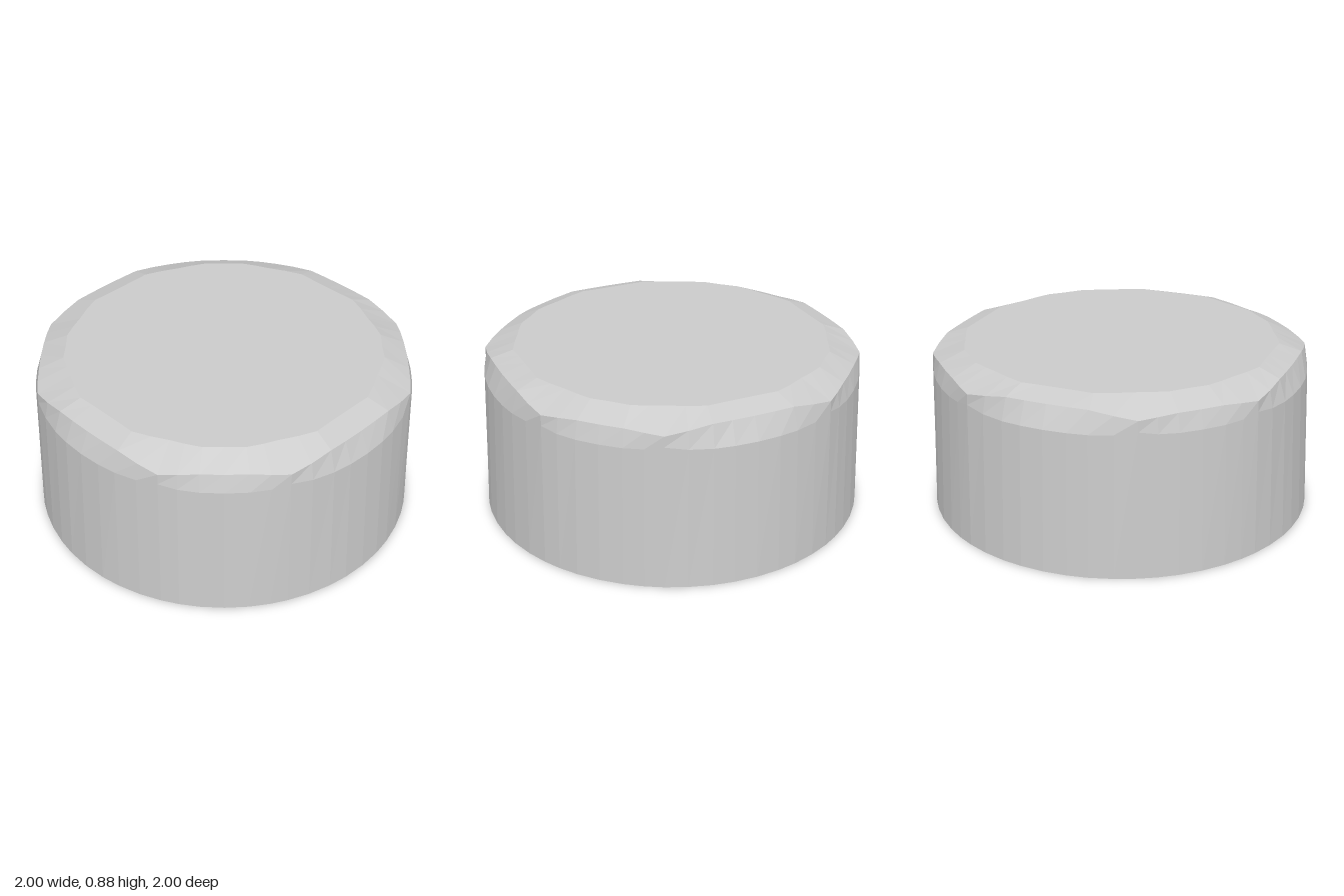
import * as THREE from 'three';

// Rim section every few degrees over one eighth of a turn:
// [angle, shoulder radius, shoulder y, crease radius, crease y, top radius]
const EIGHTH = [
  [0, 0.97, 0.73, 0.92, 0.84, 0.8],
  [7, 0.971, 0.73, 0.925, 0.84, 0.806],
  [13, 0.973, 0.73, 0.938, 0.84, 0.823],
  [20, 0.976, 0.735, 0.957, 0.822, 0.812],
  [26.6, 0.98, 0.75, 0.978, 0.805, 0.805],
  [32, 0.977, 0.735, 0.963, 0.813, 0.812],
  [38, 0.974, 0.73, 0.95, 0.82, 0.822],
  [45, 0.973, 0.73, 0.946, 0.82, 0.813],
];
const TOP = 0.877;

// Mirror the eighth into a quarter, then repeat it four times
function sections() {
  const mirrored = EIGHTH.slice(1, -1).reverse().map(([a, ...rest]) => [90 - a, ...rest]);
  const quarter = [...EIGHTH, ...mirrored];
  const all = [];
  for (let q = 0; q < 4; q++) {
    for (const [a, ...rest] of quarter) all.push([a + q * 90, ...rest]);
  }
  return all;
}

// Join rings of points into quads, closing both ends
function loft(rings) {
  const n = rings[0].length;
  const points = rings.flat();
  const index = [];
  for (let r = 0; r < rings.length - 1; r++) {
    for (let i = 0; i < n; i++) {
      const j = (i + 1) % n;
      const a = r * n + i, b = r * n + j, c = a + n, d = b + n;
      index.push(a, b, d, a, d, c);
    }
  }
  const bottom = points.length, top = bottom + 1, last = (rings.length - 1) * n;
  points.push(new THREE.Vector3(0, 0, 0), new THREE.Vector3(0, TOP, 0));
  for (let i = 0; i < n; i++) {
    const j = (i + 1) % n;
    index.push(bottom, j, i, top, last + i, last + j);
  }
  const geometry = new THREE.BufferGeometry().setFromPoints(points);
  geometry.setIndex(index);
  geometry.computeVertexNormals();
  return geometry;
}

export function createModel() {
  const group = new THREE.Group();
  group.name = 'puck';
  const at = (deg, radius, y) => {
    const t = THREE.MathUtils.degToRad(deg);
    return new THREE.Vector3(Math.sin(t) * radius, y, Math.cos(t) * radius);
  };
  const s = sections();

  // Tapered drum with a hand-cut bevel around its flat top
  const rings = [
    s.map(([a]) => at(a, 1, 0)),
    s.map(([a, r, y]) => at(a, r, y)),
    s.map(([a, , , r, y]) => at(a, r, y)),
    s.map(([a, , , , , r]) => at(a, r, TOP)),
  ];
  const material = new THREE.MeshStandardMaterial({ color: 0xcccccc, flatShading: true });
  const body = new THREE.Mesh(loft(rings), material);
  body.name = 'bevelledDrum';
  group.add(body);
  return group;
}
